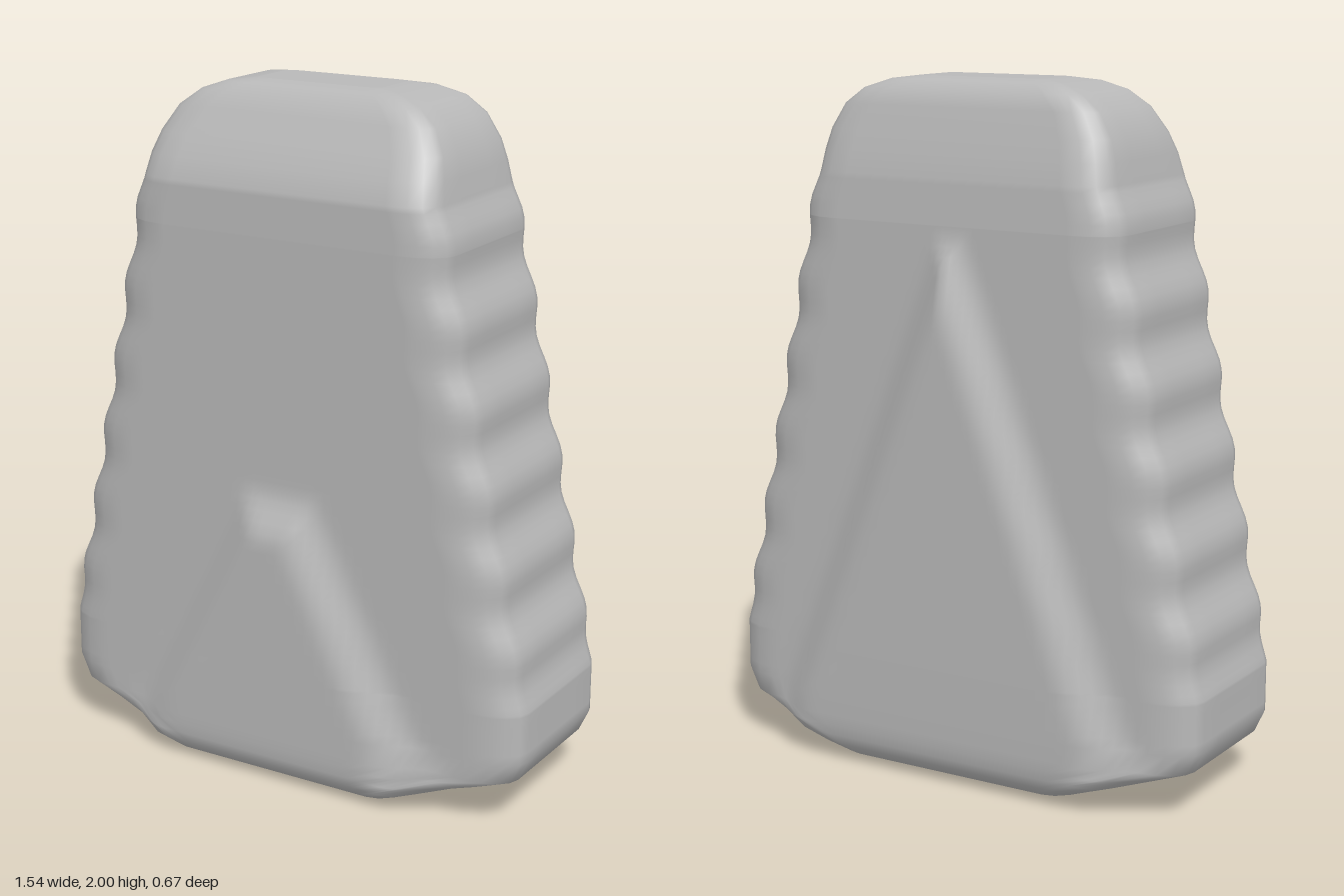
import * as THREE from 'three';

// Half-width, front depth and back depth at key heights: [y, w, front, back]
const PROFILE = [
  [0, 0.36, 0.18, 0.17], [0.02, 0.41, 0.24, 0.23], [0.05, 0.48, 0.265, 0.26],
  [0.08, 0.57, 0.272, 0.27], [0.11, 0.66, 0.274, 0.275], [0.14, 0.74, 0.275, 0.277],
  [0.2, 0.768, 0.275, 0.278], [0.35, 0.768, 0.275, 0.278], [1.6, 0.51, 0.275, 0.275],
  [1.73, 0.483, 0.272, 0.265], [1.79, 0.468, 0.25, 0.252], [1.85, 0.45, 0.215, 0.235],
  [1.92, 0.41, 0.175, 0.215], [1.965, 0.35, 0.148, 0.2], [1.99, 0.28, 0.11, 0.16],
  [2, 0.2, 0.06, 0.11],
];

function profileAt(y) {
  let i = 0;
  while (i < PROFILE.length - 2 && PROFILE[i + 1][0] < y) i++;
  const a = PROFILE[i], b = PROFILE[i + 1];
  const t = (y - a[0]) / (b[0] - a[0]);
  const [w, front, back] = [1, 2, 3].map((k) => THREE.MathUtils.lerp(a[k], b[k], t));
  // grip ripples fade out at both ends
  const fade = THREE.MathUtils.smoothstep(y, 0.3, 0.5) * (1 - THREE.MathUtils.smoothstep(y, 1.65, 1.85));
  return { w: w + 0.011 * fade * Math.cos(((y - 1.19) / 0.225) * Math.PI * 2), front, back };
}

// Height of a raised tapering panel: half-width from base (at y = 0.1) to tip
function raise(x, y, base, tip, top) {
  const slope = (base - tip) / (top - 0.1);
  const side = (tip + (top - y) * slope - Math.abs(x)) / Math.hypot(1, slope);
  return 0.06 * THREE.MathUtils.smoothstep(Math.min(side, top - y), 0, 0.15);
}

// One horizontal section: rounded rectangle with the panels pushed outwards
function section(y) {
  const { w, front, back } = profileAt(y);
  const rx = Math.min(0.13, w * 0.24), rz = 0.3 * Math.min(front, back);
  const corners = [[1, 1], [-1, 1], [-1, -1], [1, -1]];
  const arcs = corners.map(([sx, sz], c) => {
    const arc = [];
    for (let k = 0; k <= 4; k++) {
      const a = ((c + k / 4) * Math.PI) / 2;
      const depth = sz > 0 ? front : back;
      arc.push([sx * (w - rx) + rx * Math.cos(a), sz * (depth - rz) + rz * Math.sin(a), Math.sin(a)]);
    }
    return arc;
  });
  const ring = [];
  arcs.forEach((arc, c) => {
    ring.push(...arc);
    const from = arc[4], to = arcs[(c + 1) % 4][0], n = c % 2 ? 4 : 40;
    for (let k = 1; k < n; k++) ring.push(from.map((v, i) => THREE.MathUtils.lerp(v, to[i], k / n)));
  });
  return ring.map(([x, z, s]) => {
    const h = s > 0 ? raise(x, y, 0.53, 0.13, 0.88) : raise(x, y, 0.64, 0.06, 1.58);
    return new THREE.Vector3(x, y, z + s * h);
  });
}

function loft(rings) {
  const n = rings[0].length, index = [];
  for (let i = 0; i < rings.length - 1; i++) {
    for (let j = 0; j < n; j++) {
      const a = i * n + j, b = i * n + ((j + 1) % n);
      index.push(a, a + n, b, b, a + n, b + n);
    }
  }
  const geo = new THREE.BufferGeometry().setFromPoints(rings.flat());
  geo.setIndex(index);
  geo.computeVertexNormals();
  return geo;
}

// Flat fan closing a section
function cap(ring, up) {
  const n = ring.length, index = [];
  for (let j = 0; j < n; j++) {
    const k = (j + 1) % n;
    if (up) index.push(n, k, j); else index.push(n, j, k);
  }
  const geo = new THREE.BufferGeometry().setFromPoints([...ring, new THREE.Vector3(0, ring[0].y, 0)]);
  geo.setIndex(index);
  geo.computeVertexNormals();
  return geo;
}

export function createModel() {
  const group = new THREE.Group();
  group.name = 'ribbedBlock';
  const grey = new THREE.MeshStandardMaterial({ color: 0xb8b8b8 });
  grey.name = 'plain grey';

  const heights = PROFILE.map((p) => p[0]);
  for (let y = 0.23; y < 1.72; y += 0.028) heights.push(y);
  heights.sort((a, b) => a - b);
  const rings = heights.map(section);

  const add = (name, geo) => {
    const mesh = new THREE.Mesh(geo, grey);
    mesh.name = name;
    group.add(mesh);
  };
  add('body', loft(rings));
  add('topFace', cap(rings[rings.length - 1], true));
  add('bottomFace', cap(rings[0], false));
  return group;
}
